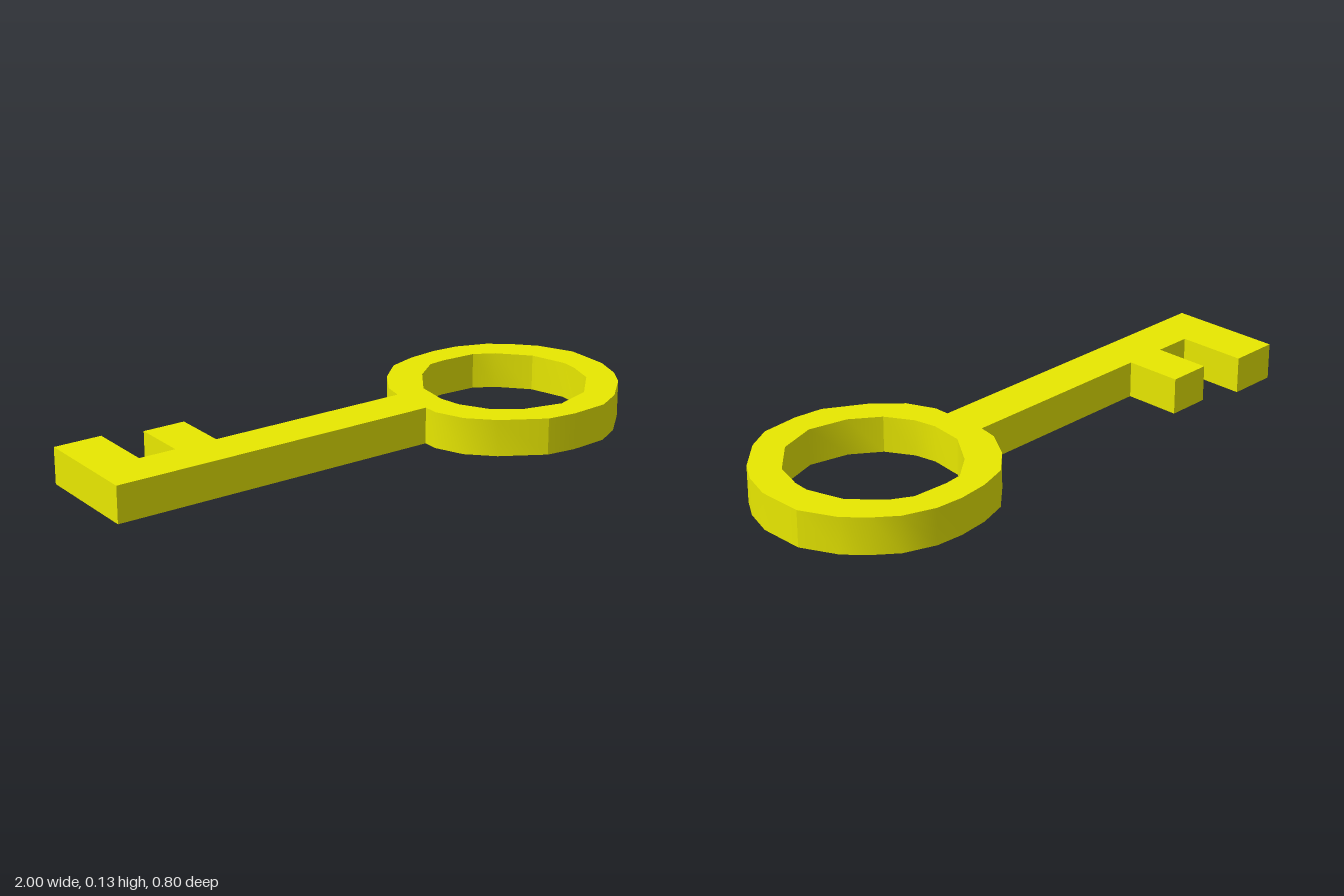
import * as THREE from 'three';
import { toCreasedNormals } from 'three/addons/utils/BufferGeometryUtils.js';

const THICKNESS = 0.13;

// Plan points are [x, z]; the shape plane is laid flat afterwards, so y = -z.
const toPlan = (points) => points.map(([x, z]) => new THREE.Vector2(x, -z));

// Shaft with the two bits on its back edge
const blade = [
  [0.203, 0.062], [-1, 0.062],
  [-1, -0.347], [-0.825, -0.347], [-0.825, -0.1],
  [-0.69, -0.1], [-0.69, -0.303], [-0.535, -0.303], [-0.535, -0.1],
];

// Hand-cut round bow, from the back of the shaft around to its front
const bowOuter = [
  [0.203, -0.1], [0.217, -0.17], [0.285, -0.275], [0.375, -0.357], [0.48, -0.39],
  [0.59, -0.402], [0.69, -0.395], [0.8, -0.355], [0.875, -0.295], [0.94, -0.225],
  [1, -0.1], [1, 0.06], [0.965, 0.165], [0.917, 0.24], [0.81, 0.34],
  [0.717, 0.39], [0.58, 0.4], [0.475, 0.387], [0.327, 0.3], [0.245, 0.217], [0.203, 0.117],
];

// Finger hole through the bow, wound against the outline so its walls face inward
const bowHole = [
  [0.3, 0.02], [0.315, 0.1], [0.37, 0.196], [0.468, 0.266], [0.607, 0.298],
  [0.745, 0.255], [0.853, 0.143], [0.885, 0.04], [0.89, -0.02], [0.85, -0.15],
  [0.757, -0.25], [0.685, -0.29], [0.555, -0.297], [0.49, -0.29], [0.4, -0.22], [0.315, -0.1],
];

export function createModel() {
  const group = new THREE.Group();
  group.name = 'key';

  // One solid plate: blade and bow share a single outline
  const outline = new THREE.Shape(toPlan([...blade, ...bowOuter]));
  outline.holes.push(new THREE.Path(toPlan(bowHole)));

  const plate = new THREE.ExtrudeGeometry(outline, { depth: THICKNESS, bevelEnabled: false });
  plate.rotateX(-Math.PI / 2);

  // Gentle turns of the bow are smooth, sharper ones keep their edge
  const geometry = toCreasedNormals(plate, 0.4);

  const body = new THREE.Mesh(geometry, new THREE.MeshStandardMaterial({ color: 0xe8e800 }));
  body.name = 'keyBody';
  group.add(body);

  return group;
}
